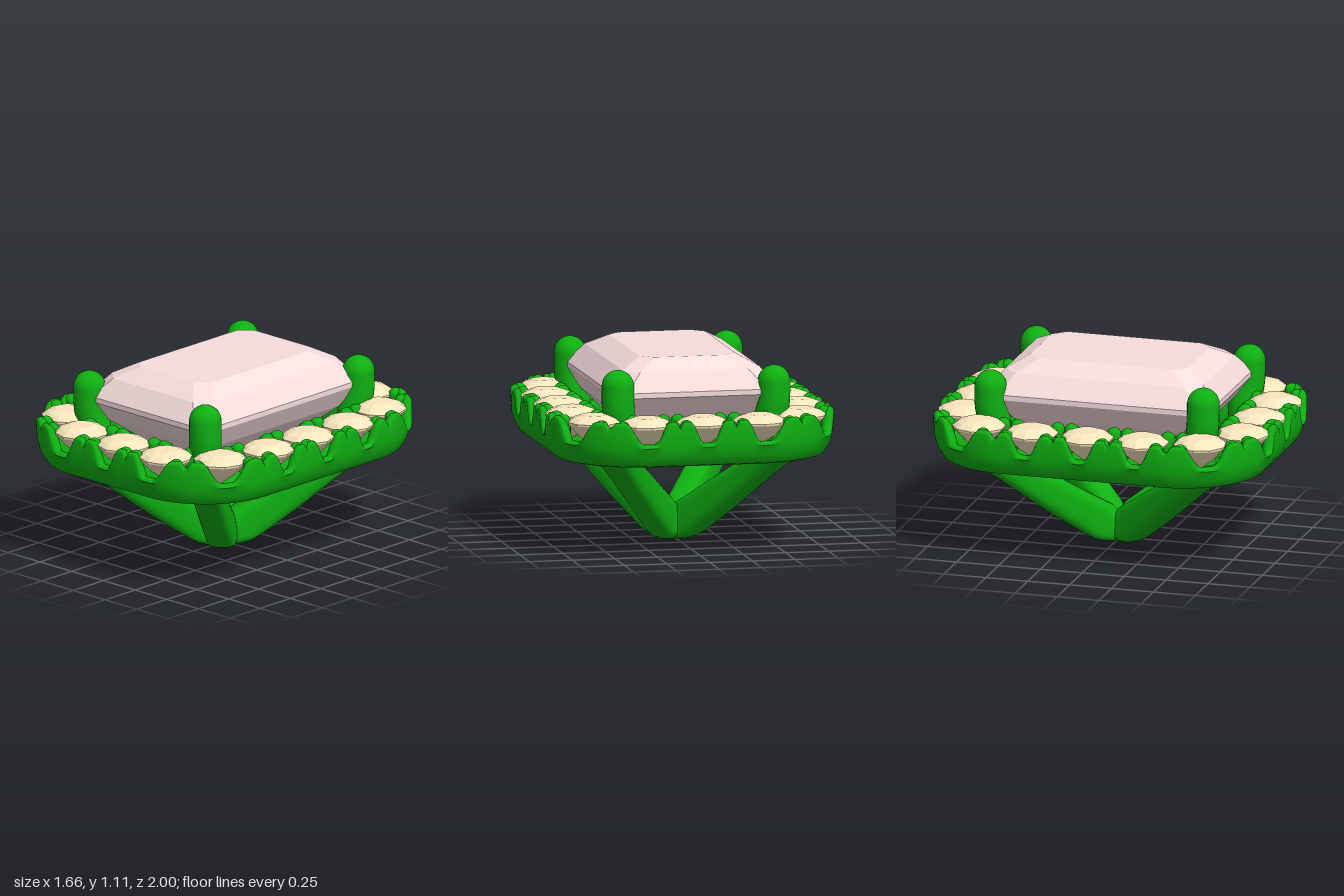
import * as THREE from 'three';

const metal = new THREE.MeshStandardMaterial({ color: 0x0fb012 });
const pink = new THREE.MeshStandardMaterial({ color: 0xf6dcdc, flatShading: true });
const cream = new THREE.MeshStandardMaterial({ color: 0xf8e6bc, flatShading: true });

const HX = 0.66, HZ = 0.83, R = 0.35; // centre line of the halo: a rounded rectangle

// Skin rows of points; every row is a closed loop running from +x towards +z
function loft(rows, closeRows) {
  const n = rows[0].length, m = rows.length, index = [];
  for (let j = 0; j < (closeRows ? m : m - 1); j++) {
    for (let i = 0; i < n; i++) {
      const k = (i + 1) % n, a = j * n, b = ((j + 1) % m) * n;
      index.push(a + i, b + i, a + k, b + i, b + k, a + k);
    }
  }
  const geo = new THREE.BufferGeometry();
  geo.setAttribute('position', new THREE.Float32BufferAttribute(rows.flat(2), 3));
  geo.setIndex(index);
  geo.computeVertexNormals();
  return geo;
}

function add(parent, name, geometry, material, x = 0, y = 0, z = 0) {
  const mesh = new THREE.Mesh(geometry, material);
  mesh.name = name;
  mesh.position.set(x, y, z);
  parent.add(mesh);
  return mesh;
}

// Sixteen halo stone positions with their outward direction
function stonePlaces() {
  const places = [];
  for (const s of [-1, 1]) {
    for (const t of [-0.33, 0, 0.33]) {
      places.push({ x: s * HX, z: t, nx: s, nz: 0 });
      places.push({ x: t, z: s * HZ, nx: 0, nz: s });
    }
    for (const q of [-1, 1]) {
      places.push({ x: s * 0.6, z: q * 0.66, nx: s * 0.8, nz: q * 0.6 });
    }
  }
  return places;
}

// Points and outward normals along the centre line
function haloPath() {
  const path = [];
  const corners = [[1, 1], [-1, 1], [-1, -1], [1, -1]];
  corners.forEach(([sx, sz], c) => {
    const cx = sx * (HX - R), cz = sz * (HZ - R), start = c * Math.PI / 2;
    for (let i = 0; i <= 40; i++) {
      const a = start + (i / 40) * Math.PI / 2;
      const nx = Math.cos(a), nz = Math.sin(a);
      path.push({ x: cx + R * nx, z: cz + R * nz, nx, nz });
    }
    const last = path[path.length - 1], next = corners[(c + 1) % 4];
    const ex = next[0] * (HX - R) + R * last.nx, ez = next[1] * (HZ - R) + R * last.nz;
    for (let i = 1; i < 60; i++) {
      const t = i / 60;
      path.push({ ...last, x: last.x + (ex - last.x) * t, z: last.z + (ez - last.z) * t });
    }
  });
  return path;
}

// Channel-shaped band whose rims dip beside each stone
function haloGeometry(path, places) {
  const rims = path.map((p) => {
    const d = Math.min(...places.map((s) => Math.hypot(s.x - p.x, s.z - p.z)));
    return 0.69 + 0.125 * THREE.MathUtils.smoothstep(d, 0.025, 0.105)
      - 0.04 * THREE.MathUtils.smoothstep(d, 0.145, 0.165);
  });
  // [offset, height, whether the height is measured from the rim]
  const section = [
    [-0.175, 0.57], [-0.155, 0.55], [0.08, 0.55], [0.115, 0.56], [0.145, 0.61], [0.163, 0.67],
    [0.17, -0.02, 1], [0.155, -0.003, 1], [0.13, 0, 1], [0.105, -0.03, 1],
    [0.085, 0.63], [-0.085, 0.63],
    [-0.105, -0.03, 1], [-0.13, 0, 1], [-0.16, -0.015, 1], [-0.178, 0.64],
  ];
  return loft(section.map(([o, y, rim]) =>
    path.map((p, i) => [p.x + p.nx * o, rim ? rims[i] + y : y, p.z + p.nz * o])), true);
}

// Step-cut centre stone: eight-sided outlines stacked by height
function centreStoneGeometry() {
  const levels = [ // half width, half depth, corner cut, height
    [0, 0, 0, 0.47], [0.11, 0.17, 0.04, 0.55], [0.29, 0.41, 0.06, 0.66], [0.42, 0.58, 0.07, 0.79],
    [0.49, 0.67, 0.08, 0.91], [0.49, 0.67, 0.08, 0.94], [0.4, 0.59, 0.085, 1.05],
    [0.28, 0.47, 0.07, 1.115], [0, 0, 0, 1.115],
  ];
  return loft(levels.map(([w, d, c, y]) => [
    [w, y, d - c], [w - c, y, d], [c - w, y, d], [-w, y, d - c],
    [-w, y, c - d], [c - w, y, -d], [w - c, y, -d], [w, y, c - d],
  ]), false);
}

// Leg leaning outwards along +x: rounded slices stacked by height
function legGeometry() {
  const slices = [ // height, inner reach, outer reach, half width
    [0.003, 0.05, 0.05, 0], [0.003, -0.06, 0.12, 0.055], [0.02, -0.09, 0.165, 0.08],
    [0.05, -0.09, 0.22, 0.085], [0.2, 0.04, 0.44, 0.085], [0.42, 0.41, 0.73, 0.085],
    [0.51, 0.56, 0.86, 0.085], [0.545, 0.6, 0.94, 0.095], [0.6, 0.66, 0.98, 0.1],
  ];
  const round = (v) => Math.sign(v) * Math.abs(v) ** 0.65;
  return loft(slices.map(([y, a, b, w]) => Array.from({ length: 32 }, (_, i) => {
    const t = (i / 32) * Math.PI * 2;
    return [(a + b) / 2 + (b - a) / 2 * round(Math.cos(t)), y, w * round(Math.sin(t))];
  })), false);
}

export function createModel() {
  const model = new THREE.Group();
  model.name = 'gemSetting';
  const places = stonePlaces();
  const path = haloPath();

  add(model, 'haloBand', haloGeometry(path, places), metal);
  add(model, 'centreStone', centreStoneGeometry(), pink);

  // Halo stones, each held by four small claws that follow the band
  const stoneProfile = [[0, 0.64], [0.085, 0.7], [0.153, 0.775], [0.155, 0.787], [0.125, 0.81], [0.075, 0.828], [0, 0.828]]
    .map(([r, y]) => new THREE.Vector2(r, y));
  const stoneGeo = new THREE.LatheGeometry(stoneProfile, 10);
  const clawGeo = new THREE.CapsuleGeometry(0.04, 0.11, 6, 12);
  const haloStones = new THREE.Group();
  const claws = new THREE.Group();
  haloStones.name = 'haloStones';
  claws.name = 'haloClaws';
  model.add(haloStones, claws);
  for (const { x, z, nx, nz } of places) {
    add(haloStones, 'haloStone', stoneGeo, cream, x, 0, z).rotation.y = Math.atan2(nx, nz);
    for (const u of [-0.122, 0.122]) {
      const gap = (p) => Math.hypot(p.x - x + nz * u, p.z - z - nx * u);
      const q = path.reduce((best, p) => (gap(p) < gap(best) ? p : best));
      for (const v of [-0.12, 0.115]) {
        add(claws, 'haloClaw', clawGeo, metal, q.x + q.nx * v, 0.727, q.z + q.nz * v);
      }
    }
  }

  // Corner prongs and the legs that meet below the centre stone
  const ball = new THREE.SphereGeometry(0.093, 24, 16);
  const legGeo = legGeometry();
  for (const sx of [-1, 1]) {
    for (const sz of [-1, 1]) {
      const at = (x, y, z) => new THREE.Vector3(sx * x, y, sz * z);
      const prong = new THREE.CatmullRomCurve3([
        at(0.457, 0.982, 0.635), at(0.455, 0.86, 0.632), at(0.435, 0.72, 0.61), at(0.45, 0.57, 0.62)]);
      add(model, 'prong', new THREE.TubeGeometry(prong, 16, 0.093, 24), metal);
      add(model, 'prongTip', ball, metal, sx * 0.457, 0.982, sz * 0.635);
      add(model, 'leg', legGeo, metal).rotation.y = -Math.atan2(sz * 0.81, sx * 0.59);
    }
  }

  return model;
}
